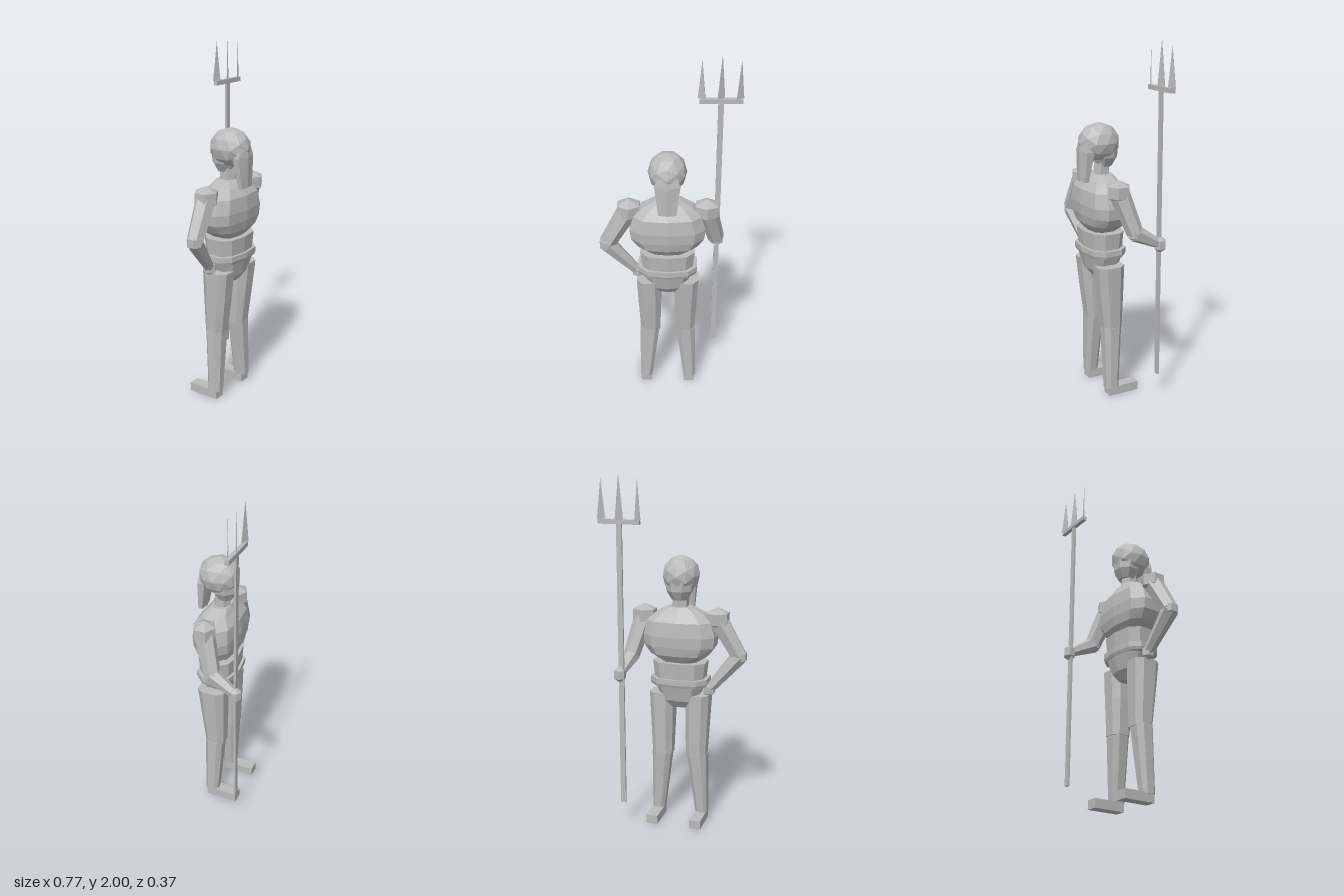
import * as THREE from 'three';

const stone = new THREE.MeshStandardMaterial({ color: 0xbababa });
stone.name = 'grey stone';
stone.flatShading = true;

const CX = -0.012, CZ = 0.06; // centre line of the body

// Closed body from rings [y, cx, cz, rx, rz], bottom to top; power < 1 squares the rings off.
function loft(rings, sides = 8, power = 1, phase = Math.PI / sides) {
  const pos = [], idx = [];
  const soft = (v) => Math.sign(v) * Math.abs(v) ** power;
  for (const [y, cx, cz, rx, rz] of rings) {
    for (let j = 0; j < sides; j++) {
      const a = phase + (j / sides) * Math.PI * 2;
      pos.push(cx + rx * soft(Math.cos(a)), y, cz + rz * soft(Math.sin(a)));
    }
  }
  const last = (rings.length - 1) * sides;
  for (let j = 0; j < sides; j++) {
    const k = (j + 1) % sides;
    for (let r = 0; r < last; r += sides) {
      idx.push(r + j, r + sides + j, r + k, r + k, r + sides + j, r + sides + k);
    }
    if (j > 0 && j < sides - 1) idx.push(0, j, k, last, last + k, last + j);
  }
  const geo = new THREE.BufferGeometry();
  geo.setAttribute('position', new THREE.Float32BufferAttribute(pos, 3));
  geo.setIndex(idx);
  const flat = geo.toNonIndexed();
  flat.computeVertexNormals();
  return flat;
}

export function createModel() {
  const model = new THREE.Group();
  model.name = 'tridentBearer';

  function add(name, geo, x = 0, y = 0, z = 0, parent = model) {
    const mesh = new THREE.Mesh(geo, stone);
    mesh.name = name;
    mesh.position.set(x, y, z);
    parent.add(mesh);
    return mesh;
  }

  // Tapered six-sided limb between two points
  function limb(name, from, to, r0, r1) {
    const a = new THREE.Vector3(...from), b = new THREE.Vector3(...to);
    const dir = b.clone().sub(a);
    const mesh = add(name, new THREE.CylinderGeometry(r1, r0, dir.length(), 6));
    mesh.position.copy(a).add(b).multiplyScalar(0.5);
    mesh.quaternion.setFromUnitVectors(new THREE.Vector3(0, 1, 0), dir.normalize());
  }

  // Faceted six-sided ball with pointed top and bottom, corners at front and back
  function ball(name, [x, y, z], rx, ry, rz) {
    add(name, new THREE.SphereGeometry(1, 6, 3).rotateY(Math.PI / 6).scale(rx, ry, rz), x, y, z);
  }

  // Torso
  add('chest', loft([
    [0.95, CX, CZ, 0.09, 0.07], [1.0, CX, CZ, 0.17, 0.107], [1.05, CX, CZ, 0.206, 0.118],
    [1.11, CX, CZ, 0.213, 0.122], [1.19, CX, CZ, 0.19, 0.114], [1.235, CX, CZ, 0.14, 0.08],
    [1.27, CX, 0.05, 0.07, 0.05],
  ], 10, 0.7));
  add('abdomen', loft([[0.85, CX, CZ, 0.144, 0.1], [0.957, CX, CZ, 0.157, 0.108]], 10, 0.75));
  add('belt', loft([
    [0.82, CX, CZ, 0.165, 0.11], [0.835, CX, CZ, 0.17, 0.116], [0.865, CX, CZ, 0.17, 0.116],
  ], 10, 0.75));
  add('pelvis', loft([
    [0.69, CX, CZ, 0.065, 0.05], [0.735, CX, CZ, 0.105, 0.085], [0.82, CX, CZ, 0.138, 0.106],
  ], 10, 0.75));

  // Head, with hair gathered into a tail on the +z side
  add('neck', new THREE.CylinderGeometry(0.045, 0.05, 0.14, 6), CX, 1.29, 0.05);
  add('face', loft([
    [1.31, CX, 0.035, 0.045, 0.045], [1.36, CX, 0.035, 0.075, 0.073], [1.44, CX, 0.04, 0.088, 0.083],
  ], 8));
  add('hair', new THREE.IcosahedronGeometry(1, 1).scale(0.104, 0.108, 0.117), CX, 1.443, 0.066);
  add('hairTail', loft([
    [1.235, CX, 0.163, 0.055, 0.019], [1.4, CX, 0.147, 0.076, 0.037], [1.47, CX, 0.135, 0.055, 0.04],
  ], 6, 0.8, Math.PI / 6));

  // Right arm, hand on the hip
  const rShoulder = [-0.222, 1.21, 0.06], rElbow = [-0.345, 1.0, 0.075], rHand = [-0.18, 0.8, 0.05];
  ball('rightShoulder', rShoulder, 0.08, 0.063, 0.075);
  limb('rightUpperArm', rShoulder, rElbow, 0.057, 0.047);
  ball('rightElbow', rElbow, 0.051, 0.045, 0.051);
  limb('rightForearm', rElbow, rHand, 0.048, 0.028);
  ball('rightHand', rHand, 0.039, 0.042, 0.039);

  // Left arm, reaching to the trident
  const lShoulder = [0.2, 1.21, 0.06], lElbow = [0.258, 0.985, -0.01], lHand = [0.277, 0.908, -0.154];
  ball('leftShoulder', lShoulder, 0.08, 0.063, 0.075);
  limb('leftUpperArm', lShoulder, lElbow, 0.057, 0.046);
  ball('leftElbow', lElbow, 0.046, 0.045, 0.048);
  limb('leftForearm', lElbow, lHand, 0.048, 0.025);
  ball('leftHand', lHand, 0.039, 0.048, 0.038);

  // Legs and feet
  for (const [side, s] of [['right', -1], ['left', 1]]) {
    const at = (d) => CX + s * d;
    add(side + 'Thigh', loft([
      [0.4, at(0.1), 0.047, 0.06, 0.058], [0.6, at(0.102), 0.056, 0.068, 0.074],
      [0.77, at(0.106), 0.063, 0.072, 0.085],
    ], 8, 0.75));
    add(side + 'Shin', loft([
      [0.045, at(0.13), 0.06, 0.037, 0.041], [0.41, at(0.104), 0.05, 0.06, 0.056],
    ], 8, 0.75));
    add(side + 'Foot', new THREE.BoxGeometry(0.065, 0.05, 0.183), at(0.128), 0.025, -0.007);
  }

  // Trident: thin blades, the outer pair turned opposite ways
  const trident = new THREE.Group();
  trident.name = 'trident';
  trident.position.set(0.268, 0, -0.152);
  model.add(trident);
  add('shaft', new THREE.BoxGeometry(0.03, 1.6, 0.012), 0, 0.94, 0, trident);
  add('crossbar', new THREE.BoxGeometry(0.23, 0.025, 0.023), 0, 1.745, 0, trident);
  for (const [x, h, turn] of [[-0.103, 0.215, -0.48], [0, 0.243, 0.48], [0.1, 0.215, 0.48]]) {
    const tine = new THREE.ConeGeometry(Math.SQRT1_2, 1, 4).rotateY(Math.PI / 4).scale(0.044, h, 0.004);
    add('tine', tine, x, 1.757 + h / 2, 0, trident).rotation.y = turn;
  }
  return model;
}
